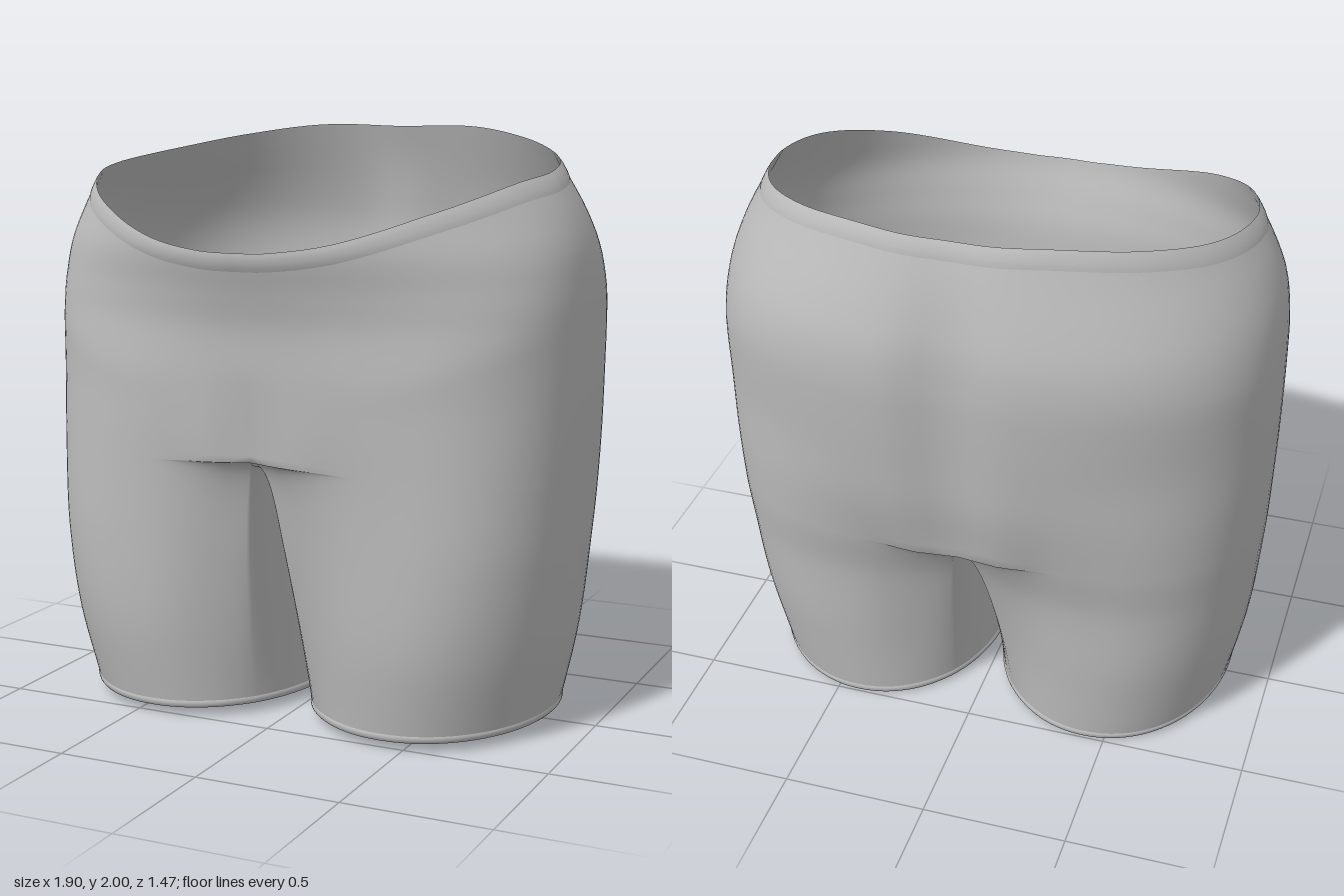
import * as THREE from 'three';
import { mergeVertices } from 'three/addons/utils/BufferGeometryUtils.js';

// Smooth lookup through [key, ...values] rows
function sample(rows, k, c = 1) {
  const n = rows.length;
  let i = 0;
  while (i < n - 2 && k > rows[i + 1][0]) i++;
  const slope = (j) => {
    const a = rows[Math.max(j - 1, 0)], b = rows[Math.min(j + 1, n - 1)];
    return (b[c] - a[c]) / (b[0] - a[0]);
  };
  const p = rows[i], q = rows[i + 1], h = q[0] - p[0];
  const t = THREE.MathUtils.clamp((k - p[0]) / h, 0, 1), t2 = t * t, t3 = t2 * t;
  return (2 * t3 - 3 * t2 + 1) * p[c] + (t3 - 2 * t2 + t) * h * slope(i)
    + (3 * t2 - 2 * t3) * q[c] + (t3 - t2) * h * slope(i + 1);
}

// Height, half width, front z, back z
const BODY = [
  [0, 0.835, 0.515, -0.49], [0.05, 0.85, 0.525, -0.497], [0.3, 0.9, 0.57, -0.53],
  [0.6, 0.927, 0.605, -0.578], [0.8, 0.938, 0.626, -0.638], [1, 0.946, 0.643, -0.685],
  [1.2, 0.95, 0.652, -0.711], [1.38, 0.95, 0.664, -0.732], [1.5, 0.946, 0.695, -0.742],
  [1.63, 0.928, 0.735, -0.738], [1.75, 0.885, 0.735, -0.713], [1.87, 0.82, 0.725, -0.68],
  [2, 0.75, 0.71, -0.64],
];
// Waist height from front centre (0) to back centre (1)
const WAIST = [[0, 1.635], [0.05, 1.638], [0.125, 1.668], [0.25, 1.765], [0.38, 1.845],
  [0.5, 1.877], [0.625, 1.915], [0.75, 1.962], [0.875, 1.997], [1, 1.994]];

const OUTER = 64, INNER = 32, SPLIT = 0.75, GAP = 0.01;
const { lerp, smoothstep: smooth } = THREE.MathUtils;
const spow = (v, p) => Math.sign(v) * Math.abs(v) ** p;

// Columns run round the outside from front to back, then return along the inner leg
function column(k) {
  if (k <= OUTER) {
    const s = k / OUTER, f = Math.PI * s;
    return {
      s, tx: Math.max(Math.sin(f), 0), tz: Math.cos(f),
      angle: SPLIT + (2 * Math.PI - 2 * SPLIT) * s, crotch: 0.94 - 0.16 * s,
      free: smooth(Math.min(s, 1 - s), 0, 0.12),
    };
  }
  const j = (k - OUTER) / INNER;
  return {
    s: 1 - j, tx: 0, tz: -Math.cos(Math.PI * j), angle: -SPLIT + 2 * SPLIT * j,
    crotch: 0.78 + 0.16 * j, free: 0,
  };
}

const hemY = (c) => 0.017 + 0.015 * Math.sin(c.angle) + 0.016 * Math.cos(c.angle) ** 2;
const waistY = (c) => sample(WAIST, c.s);

// Blends the trunk outline into a closed leg outline; columns far from the
// crotch change gradually, those beside it only below the crotch itself
function surfacePoint(col, y, out, isLeg) {
  const rx = sample(BODY, y, 1), zf = sample(BODY, y, 2), zb = sample(BODY, y, 3);
  const zc = (zf + zb) / 2, rz = (zf - zb) / 2, cx = (rx + GAP) / 2;
  const near = y >= col.crotch ? 0 : (1 - y / col.crotch) ** 0.45;
  const w = lerp(near, 1 - smooth(y, 0.25, 1.3), col.free);
  // The trunk is squarish at the hips and rounder at the waist
  const below = smooth(waistY(col) - y, 0, 0.5);
  const trunk = col.s < 0.5 ? lerp(1.1, 0.76, below) : lerp(0.95, 0.82, below);
  const leg = lerp(0.97, 0.84, smooth(y, 0, 0.8));
  const legX = cx - (cx - GAP) * spow(Math.cos(col.angle), leg);
  let x = lerp(rx * spow(col.tx, trunk), legX, w);
  let z = zc + rz * lerp(spow(col.tz, trunk), spow(Math.sin(col.angle), leg), w);
  // Seat cleft and soft front crease
  z += 0.05 * Math.exp(-((x / 0.12) ** 2)) * smooth(-z, 0.35, 0.65)
    * smooth(y, 0.4, 0.9) * (1 - 0.6 * smooth(y, 1.5, 1.93));
  z -= 0.035 * Math.exp(-((x / 0.09) ** 2)) * smooth(z, 0.4, 0.6)
    * smooth(y, 0.5, 0.92) * (1 - smooth(y, 0.92, 1.3));
  // Raised edging
  if (out) {
    const dx = isLeg ? x - cx : x, dz = z - zc, d = Math.hypot(dx, dz);
    x += (out * dx) / d;
    z += (out * dz) / d;
    if (isLeg) x = Math.max(x, 0.003);
  }
  return [x, y, z];
}

// Adds a grid of quads for both mirrored halves
function addGrid(data, columns, rows, pointAt) {
  for (const side of [1, -1]) {
    const base = data.pos.length / 3;
    for (let k = 0; k <= columns; k++) {
      const col = column(k);
      for (let r = 0; r <= rows; r++) {
        const [x, y, z] = pointAt(col, r);
        data.pos.push(side * x, y, z);
      }
    }
    for (let k = 0; k < columns; k++) {
      for (let r = 0; r < rows; r++) {
        const a = base + k * (rows + 1) + r, b = a + 1, c = a + rows + 1, d = c + 1;
        if (side > 0) data.idx.push(a, c, b, c, d, b);
        else data.idx.push(a, b, c, c, b, d);
      }
    }
  }
}

function makeMesh(name, material, fill) {
  const data = { pos: [], idx: [] };
  fill(data);
  let geometry = new THREE.BufferGeometry();
  geometry.setAttribute('position', new THREE.Float32BufferAttribute(data.pos, 3));
  geometry.setIndex(data.idx);
  geometry = mergeVertices(geometry, 1e-4);
  geometry.computeVertexNormals();
  const mesh = new THREE.Mesh(geometry, material);
  mesh.name = name;
  return mesh;
}

export function createModel() {
  const group = new THREE.Group();
  group.name = 'shorts';
  const fabric = new THREE.MeshStandardMaterial({ color: 0xbcbcbc, side: THREE.DoubleSide });
  fabric.name = 'grey fabric';
  const ring = OUTER + INNER, rows = 30;

  // Trunk and both legs as one welded cloth surface
  group.add(makeMesh('body', fabric, (data) => {
    addGrid(data, ring, rows, (c, r) => {
      const t = 1 - (1 - r / rows) ** 1.8; // closer rows near the crotch
      return surfacePoint(c, lerp(hemY(c), c.crotch, t));
    });
    addGrid(data, OUTER, rows, (c, r) =>
      surfacePoint(c, lerp(c.crotch, waistY(c), r / rows)));
  }));

  // Narrow raised bands at the waist and leg openings
  const profile = [0, 0.003, 0.004, 0.004, 0.003, 0];
  const last = profile.length - 1;
  group.add(makeMesh('waistband', fabric, (data) =>
    addGrid(data, OUTER, last, (c, r) =>
      surfacePoint(c, waistY(c) - 0.06 * (1 - r / last), profile[r], false))));
  group.add(makeMesh('legHems', fabric, (data) =>
    addGrid(data, ring, last, (c, r) =>
      surfacePoint(c, hemY(c) + 0.025 * (r / last), profile[r], true))));
  return group;
}
